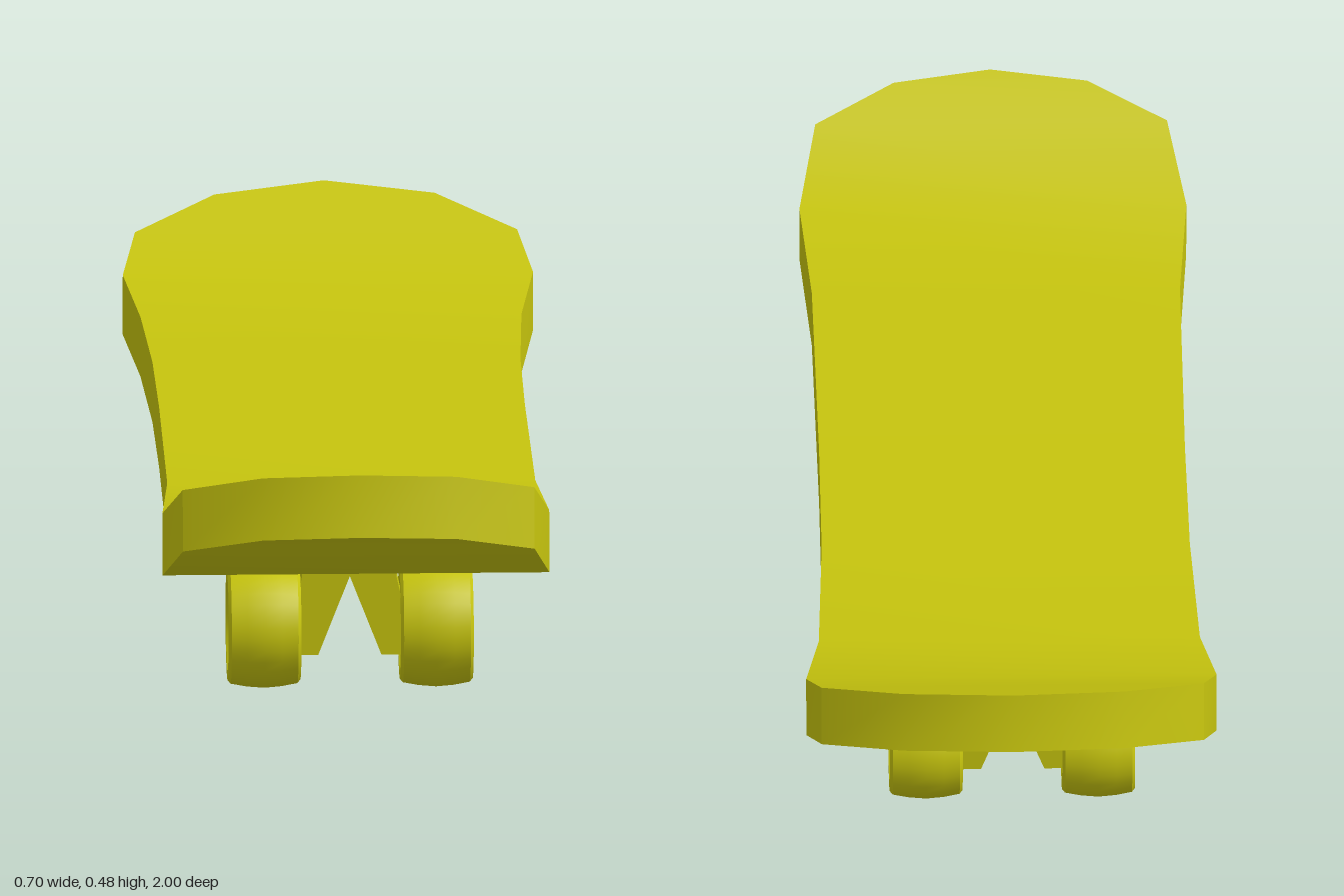
import * as THREE from 'three';
import { toCreasedNormals } from 'three/addons/utils/BufferGeometryUtils.js';

// Deck stations from nose to tail: [half width, bottom z, bottom y, top z, top y]
const STATIONS = [
  [0, 1.0, 0.375, 0.98, 0.48],
  [0.165, 0.975, 0.365, 0.957, 0.47],
  [0.3, 0.905, 0.328, 0.888, 0.432],
  [0.33, 0.755, 0.246, 0.745, 0.353],
  [0.314, 0.5, 0.234, 0.5, 0.34],
  [0.312, 0, 0.234, 0, 0.34],
  [0.314, -0.3, 0.234, -0.3, 0.34],
  [0.325, -0.6, 0.234, -0.595, 0.34],
  [0.35, -0.77, 0.263, -0.76, 0.37],
  [0.326, -0.88, 0.315, -0.862, 0.418],
  [0.188, -0.97, 0.358, -0.95, 0.46],
  [0, -1.0, 0.372, -0.982, 0.475],
];

function deckGeometry() {
  const pos = [];
  const tri = (a, b, c) => {
    const same = (p, q) => p.every((v, i) => Math.abs(v - q[i]) < 1e-6);
    if (!same(a, b) && !same(b, c) && !same(a, c)) pos.push(...a, ...b, ...c);
  };
  const quad = (a, b, c, d) => { tri(a, b, c); tri(a, c, d); };
  // Each loop: top left, top right, bottom right, bottom left
  const loops = STATIONS.map(([w, zb, yb, zt, yt]) =>
    [[w, yt, zt], [-w, yt, zt], [-w, yb, zb], [w, yb, zb]]);
  for (let i = 0; i < loops.length - 1; i++) {
    const a = loops[i], b = loops[i + 1];
    for (let k = 0; k < 4; k++) {
      const n = (k + 1) % 4;
      quad(a[k], b[k], b[n], a[n]);
    }
  }
  const g = new THREE.BufferGeometry();
  g.setAttribute('position', new THREE.Float32BufferAttribute(pos, 3));
  return toCreasedNormals(g, 0.55);
}

// Barrel-shaped wheel with a recessed hub on both faces, axis along x
function wheelGeometry() {
  const half = [[0, 0.045], [0.058, 0.045], [0.062, 0.05], [0.07, 0.05], [0.078, 0.062],
    [0.094, 0.062], [0.1, 0.057], [0.105, 0.03], [0.1075, 0]];
  const other = half.slice(0, -1).reverse().map(([r, h]) => [r, -h]);
  const pts = [...half, ...other].reverse().map(([r, h]) => new THREE.Vector2(r, h));
  const g = new THREE.LatheGeometry(pts, 32);
  g.rotateZ(Math.PI / 2);
  return toCreasedNormals(g, 0.5);
}

// Forked bracket with a flat mounting top
function truckGeometry() {
  const shape = new THREE.Shape([
    [-0.088, 0.24], [-0.088, 0.2], [-0.095, 0.165], [-0.095, 0.064], [-0.06, 0.064], [-0.006, 0.203],
    [0.048, 0.064], [0.084, 0.064], [0.084, 0.155], [0.074, 0.2], [0.074, 0.24],
  ].map(([x, y]) => new THREE.Vector2(x, y)));
  const g = new THREE.ExtrudeGeometry(shape, { depth: 0.08, bevelEnabled: false });
  g.translate(0, 0, -0.04);
  return g;
}

export function createModel() {
  const model = new THREE.Group();
  model.name = 'skateboard';
  const yellow = new THREE.MeshStandardMaterial({ color: 0xc6c40e });
  yellow.name = 'olive yellow';

  const add = (parent, geometry, name, x = 0, y = 0, z = 0) => {
    const mesh = new THREE.Mesh(geometry, yellow);
    mesh.name = name;
    mesh.position.set(x, y, z);
    parent.add(mesh);
  };

  add(model, deckGeometry(), 'deck');

  // Front and rear wheel sets
  const wheel = wheelGeometry(), truck = truckGeometry();
  for (const [name, z] of [['front', 0.57], ['rear', -0.535]]) {
    const set = new THREE.Group();
    set.name = name + 'WheelSet';
    set.position.z = z;
    add(set, truck, name + 'Truck');
    add(set, wheel, name + 'LeftWheel', 0.142, 0.1075);
    add(set, wheel, name + 'RightWheel', -0.152, 0.1075);
    model.add(set);
  }
  return model;
}
